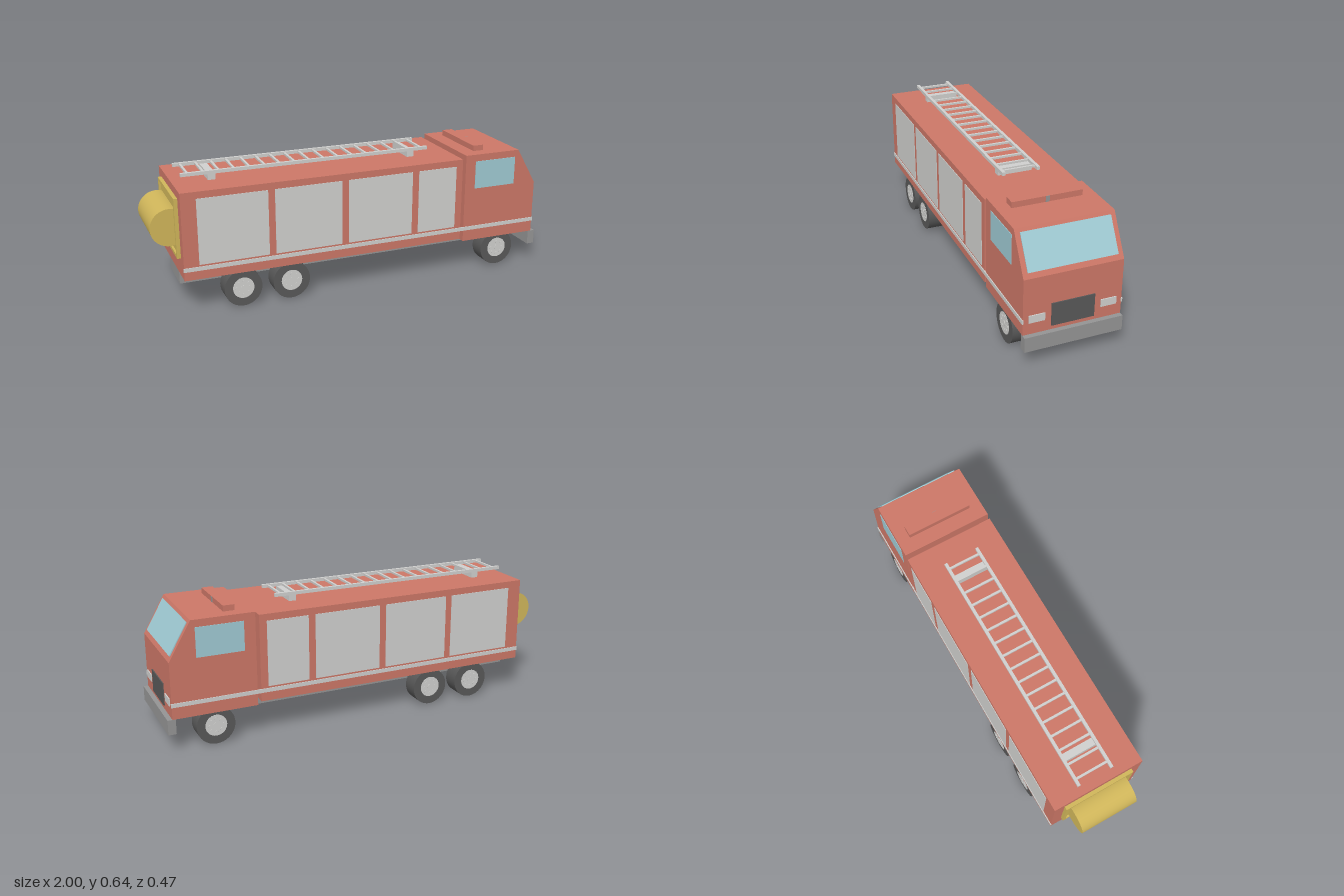
import * as THREE from 'three';

const mat = (name, color) => {
  const m = new THREE.MeshStandardMaterial({ color });
  m.name = name;
  return m;
};

export function createModel() {
  const red = mat('red paint', 0xcc7767);
  const silver = mat('light grey', 0xd0d0ce);
  const grey = mat('mid grey', 0x949494);
  const dark = mat('dark grey', 0x585858);
  const glass = mat('glass', 0x9fcad3);
  const yellow = mat('yellow', 0xd0b65a);

  const truck = new THREE.Group();
  truck.name = 'fireTruck';

  const add = (name, geo, material, x = 0, y = 0, z = 0, parent = truck) => {
    const mesh = new THREE.Mesh(geo, material);
    mesh.name = name;
    mesh.position.set(x, y, z);
    parent.add(mesh);
    return mesh;
  };
  // box given by its extents on each axis
  const box = (name, material, x0, x1, y0, y1, z0, z1, parent = truck) =>
    add(name, new THREE.BoxGeometry(x1 - x0, y1 - y0, z1 - z0), material,
      (x0 + x1) / 2, (y0 + y1) / 2, (z0 + z1) / 2, parent);
  // cylinder lying along z
  const disc = (name, material, r, z0, z1, segments, x = 0, y = 0, parent = truck) =>
    add(name, new THREE.CylinderGeometry(r, r, z1 - z0, segments).rotateX(Math.PI / 2),
      material, x, y, (z0 + z1) / 2, parent);

  const W = 0.232; // half width

  // chassis, bumper and rear body
  box('chassis', grey, -0.87, 0.965, 0.105, 0.172, -0.1, 0.1);
  box('bumper', grey, 0.962, 1.0, 0.085, 0.157, -W, W);
  box('body', red, -0.872, 0.552, 0.172, 0.595, -W, W);

  // cab with sloping windscreen face
  const profile = new THREE.Shape([
    [0.57, 0.157], [0.977, 0.157], [0.977, 0.428], [0.87, 0.612], [0.57, 0.612],
  ].map(([x, y]) => new THREE.Vector2(x, y)));
  const cabGeo = new THREE.ExtrudeGeometry(profile, { depth: 2 * W, bevelEnabled: false });
  add('cab', cabGeo, red, 0, 0, -W);

  const windscreen = add('windscreen', new THREE.BoxGeometry(0.008, 0.17, 0.418), glass, 0.922, 0.5235, 0);
  windscreen.rotation.z = Math.atan2(0.107, 0.184);

  // front details
  box('grille', dark, 0.975, 0.982, 0.177, 0.288, -0.101, 0.101);
  for (const s of [-1, 1]) {
    add('headlight', new THREE.BoxGeometry(0.007, 0.036, 0.075), silver, 0.9785, 0.232, s * 0.1685);
  }

  // roof beacon bar
  box('beaconBar', red, 0.645, 0.7, 0.612, 0.64, -0.168, 0.168);
  box('beaconDivider', grey, 0.698, 0.702, 0.612, 0.64, -0.009, 0.009);

  // roller shutters, side windows and stripes on both sides
  const shutters = [[-0.8, -0.463], [-0.43, -0.096], [-0.062, 0.275], [0.31, 0.516]];
  for (const s of [-1, 1]) {
    const side = (name, material, x0, x1, y0, y1, out) =>
      add(name, new THREE.BoxGeometry(x1 - x0, y1 - y0, 0.006), material,
        (x0 + x1) / 2, (y0 + y1) / 2, s * (out - 0.003));
    shutters.forEach(([x0, x1]) => side('shutter', silver, x0, x1, 0.243, 0.562, 0.2345));
    side('sideWindow', glass, 0.625, 0.852, 0.435, 0.577, 0.2345);
    side('stripe', silver, -0.874, 0.98, 0.215, 0.234, 0.236);
  }

  // roof ladder
  const ladder = new THREE.Group();
  ladder.name = 'ladder';
  truck.add(ladder);
  for (const s of [-1, 1]) {
    add('ladderRail', new THREE.BoxGeometry(1.255, 0.016, 0.015), silver, -0.207, 0.634, s * 0.086, ladder);
  }
  for (let i = 0; i < 17; i++) {
    add('ladderRung', new THREE.BoxGeometry(0.011, 0.01, 0.165), silver, -0.8 + i * 0.0743, 0.634, 0, ladder);
  }
  for (const x of [-0.688, 0.33]) {
    box('ladderSupport', silver, x - 0.018, x + 0.018, 0.594, 0.628, -0.085, 0.085, ladder);
  }

  // hose reel on a framed plate at the back
  box('reelPlate', yellow, -0.88, -0.87, 0.265, 0.555, -0.178, 0.178);
  for (const s of [-1, 1]) {
    add('reelFrameSide', new THREE.BoxGeometry(0.02, 0.29, 0.016), yellow, -0.88, 0.41, s * 0.17);
    add('reelFrameBar', new THREE.BoxGeometry(0.02, 0.016, 0.324), yellow, -0.88, 0.41 + s * 0.137, 0);
  }
  disc('hoseReel', yellow, 0.09, -0.147, 0.147, 40, -0.91, 0.41);

  // wheels: tyre, hub and bolts
  for (const s of [-1, 1]) {
    for (const x of [-0.595, -0.355, 0.775]) {
      const wheel = new THREE.Group();
      wheel.name = 'wheel';
      wheel.position.set(x, 0.092, 0);
      if (s < 0) wheel.rotation.y = Math.PI;
      truck.add(wheel);
      disc('tyre', dark, 0.092, 0.144, 0.228, 40, 0, 0, wheel);
      disc('hub', silver, 0.052, 0.22, 0.2295, 32, 0, 0, wheel);
      disc('hubCap', silver, 0.014, 0.22, 0.2315, 16, 0, 0, wheel);
      for (let i = 0; i < 8; i++) {
        const a = (i * Math.PI) / 4;
        disc('bolt', silver, 0.007, 0.22, 0.2315, 10, 0.033 * Math.cos(a), 0.033 * Math.sin(a), wheel);
      }
    }
  }
  return truck;
}
